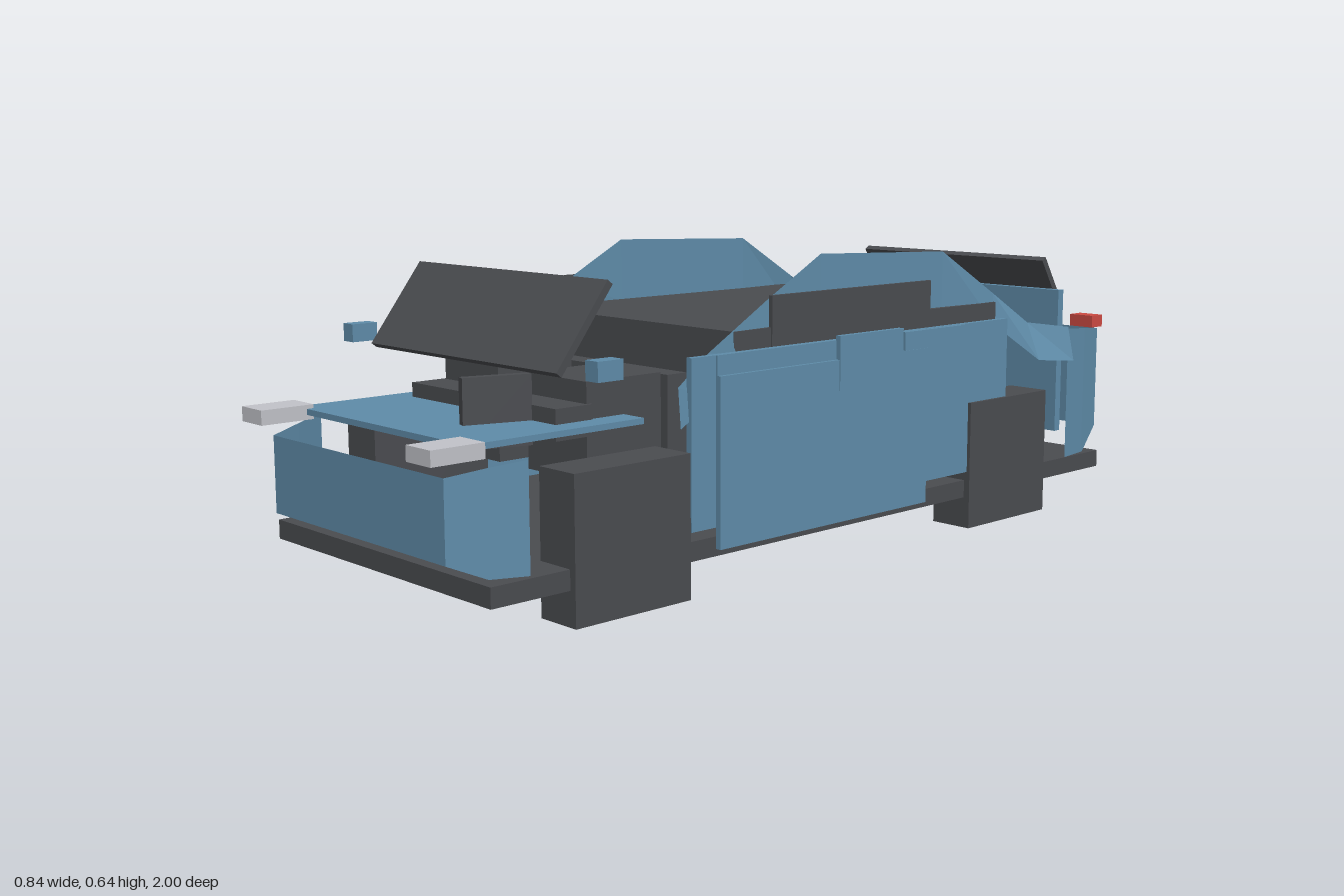
import * as THREE from 'three';

export function createModel() {
  const model = new THREE.Group();
  model.name = 'car';
  const blue = new THREE.MeshStandardMaterial({ color: 0x5f8ca9, side: THREE.DoubleSide });
  blue.name = 'body blue';
  const dark = new THREE.MeshStandardMaterial({ color: 0x4a4c50 });
  dark.name = 'dark grey';
  const silver = new THREE.MeshStandardMaterial({ color: 0xc2c3c9 });
  silver.name = 'lamp silver';
  const red = new THREE.MeshStandardMaterial({ color: 0xcc4a42 });
  red.name = 'lamp red';

  const add = (name, geometry, material) => {
    const mesh = new THREE.Mesh(geometry, material);
    mesh.name = name;
    model.add(mesh);
    return mesh;
  };
  // Box given by its limits on each axis
  const box = (name, material, [x0, x1], [y0, y1], [z0, z1]) => {
    const mesh = add(name, new THREE.BoxGeometry(x1 - x0, y1 - y0, z1 - z0), material);
    mesh.position.set((x0 + x1) / 2, (y0 + y1) / 2, (z0 + z1) / 2);
    return mesh;
  };
  // The same box on both sides
  const pair = (name, material, [x0, x1], y, z) => {
    box(name + 'Left', material, [x0, x1], y, z);
    box(name + 'Right', material, [-x1, -x0], y, z);
  };
  // Faceted sheet through columns of [top point, bottom point]
  const sheet = (name, columns) => {
    const p = [];
    for (let i = 0; i + 1 < columns.length; i++) {
      const [a, b] = columns[i], [c, d] = columns[i + 1];
      p.push(...a, ...b, ...d, ...a, ...d, ...c);
    }
    const geometry = new THREE.BufferGeometry();
    geometry.setAttribute('position', new THREE.Float32BufferAttribute(p, 3));
    geometry.computeVertexNormals();
    add(name, geometry, blue);
  };
  // Wraparound bumper from half its columns [x, z, bottom, top]
  const bumper = (name, half) => {
    const other = half.map(([x, z, b, t]) => [-x, z, b, t]).reverse();
    sheet(name, [...half, ...other].map(([x, z, b, t]) => [[x, t, z], [x, b, z]]));
  };

  // Chassis and wheels
  box('floor', dark, [-0.363, 0.363], [0.07, 0.11], [-0.947, 0.908]);
  box('underfloor', dark, [-0.23, 0.23], [0.032, 0.072], [-0.387, 0.413]);
  pair('frontWheel', dark, [0.276, 0.378], [0, 0.289], [0.445, 0.73]);
  pair('rearWheel', dark, [0.276, 0.378], [0, 0.289], [-0.702, -0.417]);

  // Bumpers, hood and rear panel
  bumper('frontBumper', [[-0.35, 0.81, 0.11, 0.322], [-0.32, 0.88, 0.11, 0.312], [-0.292, 0.952, 0.142, 0.3]]);
  bumper('rearBumper', [[0.362, -0.81, 0.09, 0.425], [0.348, -0.9, 0.105, 0.418], [0.33, -0.98, 0.165, 0.41]]);
  box('hood', blue, [-0.292, 0.292], [0.34, 0.352], [0.487, 0.9]);
  box('rearPanel', blue, [-0.327, 0.327], [0.17, 0.515], [-0.835, -0.815]);

  // Lamps and mirrors
  pair('headlamp', silver, [0.25, 0.325], [0.33, 0.36], [0.885, 1]);
  pair('tailLamp', red, [0.265, 0.33], [0.413, 0.442], [-1, -0.957]);
  pair('mirror', blue, [0.385, 0.42], [0.456, 0.494], [0.647, 0.707]);

  // Tilted glass panels
  const windscreen = add('windscreen', new THREE.BoxGeometry(0.614, 0.205, 0.015), dark);
  windscreen.position.set(0, 0.539, 0.643);
  windscreen.rotation.x = -0.65;
  const rearGlass = add('rearGlass', new THREE.BoxGeometry(0.57, 0.15, 0.015), dark);
  rearGlass.position.set(0, 0.525, -0.851);
  rearGlass.rotation.x = 0.56;

  // Cabin and interior
  box('cabin', dark, [-0.332, 0.332], [0.145, 0.505], [-0.56, 0.285]);
  pair('sideWindow', dark, [0.326, 0.335], [0.4, 0.57], [-0.32, 0.18]);
  pair('frontSeat', dark, [0.048, 0.232], [0.23, 0.425], [0.39, 0.58]);
  box('rearSeat', dark, [-0.193, 0.193], [0.2, 0.41], [0.2, 0.337]);
  box('dashboard', dark, [-0.238, 0.238], [0.32, 0.382], [0.57, 0.66]);
  const wheel = add('steeringWheel', new THREE.BoxGeometry(0.02, 0.138, 0.138), dark);
  wheel.position.set(0.136, 0.373, 0.722);
  wheel.rotation.y = -0.3;

  // Doors and side walls
  pair('sideWall', blue, [0.356, 0.37], [0.13, 0.47], [-0.556, 0.435]);
  pair('door', blue, [0.37, 0.383], [0.087, 0.43], [-0.256, 0.37]);
  pair('doorTop', blue, [0.365, 0.374], [0.43, 0.47], [-0.256, 0.37]);
  pair('doorPlate', blue, [0.372, 0.385], [0.365, 0.48], [-0.17, 0.03]);
  pair('rearDoorPlate', blue, [0.372, 0.382], [0.36, 0.47], [-0.385, -0.18]);

  // Roof arches, flaring outward at both ends: [z, topX, topY, bottomX, bottomY]
  const arch = [
    [0.46, 0.36, 0.415, 0.367, 0.335], [0.36, 0.338, 0.47, 0.352, 0.38],
    [0.18, 0.32, 0.56, 0.325, 0.45], [0.02, 0.318, 0.645, 0.318, 0.5],
    [-0.38, 0.318, 0.63, 0.318, 0.49], [-0.56, 0.323, 0.525, 0.332, 0.45],
    [-0.69, 0.328, 0.447, 0.365, 0.36], [-0.805, 0.365, 0.43, 0.383, 0.35],
  ];
  for (const [name, s] of [['archLeft', 1], ['archRight', -1]])
    sheet(name, arch.map(([z, tx, ty, bx, by]) => [[s * tx, ty, z], [s * bx, by, z]]));

  return model;
}
